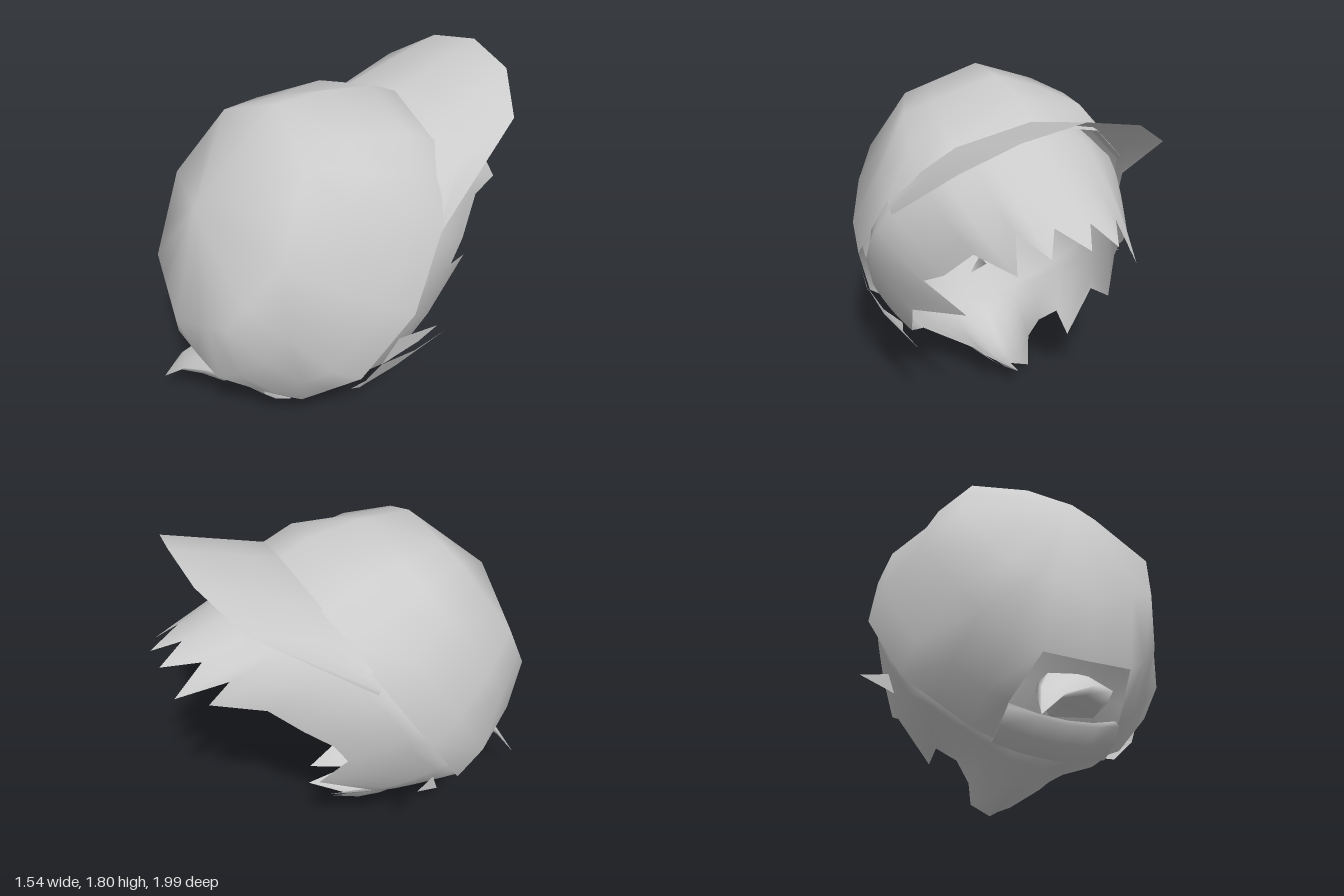
import * as THREE from 'three';
import { mergeVertices } from 'three/addons/utils/BufferGeometryUtils.js';

const material = new THREE.MeshStandardMaterial({ color: 0xcccccc, side: THREE.DoubleSide });
const rad = THREE.MathUtils.degToRad;
const lerp = THREE.MathUtils.lerp;

// Point around the tilted cap axis: angle from the crown edge (+x positive),
// height above the rim plane, factor on the oval rim radii, extra x factor.
function onCap(deg, h, f, fx = 1) {
  const x = 0.765 * f * fx * Math.sin(rad(deg));
  const u = 0.868 * f * Math.cos(rad(deg));
  return [x, 0.91 + 0.841 * u + 0.541 * h, 0.1 - 0.541 * u + 0.841 * h];
}

// Radius factor that turns a circle into a regular polygon with a corner at 0
function polygon(deg, sides) {
  const step = 360 / sides;
  return Math.cos(rad(step / 2)) / Math.cos(rad((Math.abs(deg) % step) - step / 2));
}

function addMesh(group, name, geo) {
  geo.computeVertexNormals();
  const mesh = new THREE.Mesh(geo, material);
  mesh.name = name;
  group.add(mesh);
}

// Smooth surface through rows x cols points; skip(i, j) leaves a cell open
function sheet(group, name, rows, cols, point, skip = () => false) {
  const pos = [], index = [];
  for (let i = 0; i < rows; i++) for (let j = 0; j < cols; j++) pos.push(...point(i, j));
  for (let i = 0; i < rows - 1; i++) {
    for (let j = 0; j < cols - 1; j++) {
      if (skip(i, j)) continue;
      const a = i * cols + j, b = a + cols;
      index.push(a, b, a + 1, a + 1, b, b + 1);
    }
  }
  const geo = new THREE.BufferGeometry();
  geo.setAttribute('position', new THREE.Float32BufferAttribute(pos, 3));
  geo.setIndex(index);
  addMesh(group, name, mergeVertices(geo, 1e-4));
}

// Flat strand: fan of corners around the first one
function strand(group, name, corners) {
  const pos = [];
  for (let i = 1; i < corners.length - 1; i++) pos.push(...corners[0], ...corners[i], ...corners[i + 1]);
  const geo = new THREE.BufferGeometry();
  geo.setAttribute('position', new THREE.Float32BufferAttribute(pos, 3));
  addMesh(group, name, geo);
}

// Hair below the rim: flares at the crown, draws in at the sides, and curls
// in to a wedge at the nape whose keel is a little to the right
function onHair(deg, d) {
  const c = Math.cos(rad(deg));
  const side = 0.94 - 0.42 * d * d;
  const diagonal = Math.abs(Math.sin(rad(2 * deg)));
  const narrow = (1 - 0.45 * d * Math.abs(Math.sin(rad(deg)))) * (1 - 0.55 * d * d * diagonal);
  if (c > 0) return onCap(deg, -d, lerp(side, 0.9 + 0.22 * d, c), narrow);
  const fromKeel = Math.abs(deg < 0 ? deg + 172 : deg - 188);
  const wedge = Math.max(0, 1 - Math.abs(fromKeel - 30) / 32);
  const nape = lerp(side, 0.97 + 0.1 * d - 2.2 * d ** 4, -c);
  return onCap(deg, -d, nape * (1 - 0.7 * Math.min(d, 0.45) * wedge), narrow);
}

// Jagged hair edge: [angle, depth below the rim, sideways lean of the tip]
const hairEdge = [
  [-180, 0.68, 0], [-172, 0.52, 0], [-165, 0.62, 0], [-156, 0.42, 0], [-145, 0.38, 0],
  [-131, 0.38, 0], [-122, 0.59, 2], [-109, 0.37, 0], [-92, 0.55, 2], [-84, 0.36, 0],
  [-75, 0.36, 0], [-64, 0.42, 0], [-50, 0.48, 0], [-37, 0.67, 0], [-32, 0.52, 0],
  [-27, 0.77, 0], [-18, 0.56, 0], [-9, 0.73, 0], [-3, 0.58, 0], [2, 0.73, 0],
  [10, 0.56, 0], [18, 0.7, 0], [25, 0.5, 0], [37, 0.66, 0], [46, 0.45, 0],
  [64, 0.41, 0], [75, 0.34, 0], [82, 0.59, -11], [95, 0.35, 0], [117, 0.33, 0],
  [142, 0.22, 0], [155, 0.45, 0], [164, 0.62, 0], [171, 0.47, 0], [180, 0.68, 0],
];

export function createModel() {
  const group = new THREE.Group();
  group.name = 'backwardCapWithHair';

  // Cap dome: twelve-sided rim, eight-sided top, a gap at the low front
  const half = [30, 45, 60, 90, 120, 135, 150, 158, 180];
  const angles = [...half.map((a) => -a).reverse(), 0, ...half];
  const dome = [[0, 1, 12], [0.19, 0.972, 12], [0.45, 0.84, 8], [0.67, 0.675, 8], [0.85, 0, 8]];
  const n = angles.length;
  const gap = (i, j) => i < 2 && (j === 0 || j === n - 2);
  const domePoint = (i, deg, shrink = 0) => {
    const [h, f, sides] = dome[i];
    if (Math.abs(deg) < 150 || i > 2) return onCap(deg, h + shrink, f * polygon(deg, sides) - shrink);
    if (i < 2) return onCap(deg, h + shrink, f - shrink);
    return Math.abs(deg) === 158 ? onCap(Math.sign(deg) * 162, h, 0.92) : onCap(deg, h, 0.88);
  };
  sheet(group, 'capDome', dome.length, n, (i, j) => domePoint(i, angles[j]), gap);

  // Folded lip round the rim
  sheet(group, 'capRim', 2, n, (i, j) => domePoint(0, angles[j], i ? 0 : 0.04), gap);

  // Strap closing the gap, a thin closed band
  const band = [[-0.02, 0.98], [-0.02, 1.01], [0.08, 1.015], [0.17, 0.99], [0.17, 0.95], [-0.02, 0.98]];
  sheet(group, 'strap', band.length, 5, (i, j) => onCap(158 + j * 11, ...band[i]));

  // Visor: curved plate rising to the back
  const inner = [[0.65, 1.28, -0.1], [0.51, 1.42, -0.18], [0.37, 1.55, -0.27], [0, 1.65, -0.34]];
  const outer = [[0.64, 1.2, -0.13], [0.5, 1.6, -0.7], [0.28, 1.75, -0.84], [0, 1.81, -0.87]];
  sheet(group, 'visor', 4, 7, (i, j) => {
    const k = 3 - Math.abs(j - 3), s = j < 3 ? -1 : 1;
    const p = inner[k].map((v, a) => lerp(outer[k][a], v, i / 3));
    return [p[0] * s, p[1], p[2]];
  });

  // Hair shell: jagged tips, down the sides, then tucked inside the dome
  const tips = 6;
  sheet(group, 'hair', tips + 3, hairEdge.length, (i, j) => {
    const [deg, depth, lean] = hairEdge[j];
    if (i > tips) {
      const tuck = lerp(0.16, 0.52, Math.max(0, -Math.cos(rad(deg))) ** 4);
      const h = tuck * (i - tips) / 2;
      return onCap(deg, h, 0.92 - 0.45 * h);
    }
    const t = 1 - i / tips;
    return onHair(deg + lean * t * t, depth * t);
  });

  // Tuft sweeping out through the gap
  const path = [[0.04, 0.43, 0.62], [0.02, 0.44, 0.74], [-0.07, 0.42, 0.82], [-0.19, 0.33, 0.9], [-0.28, 0.19, 0.98]];
  const width = [0.18, 0.16, 0.12, 0.06, 0];
  sheet(group, 'frontTuft', path.length, 7, (i, j) => {
    const a = rad(j * 60), [x, y, z] = path[i], w = width[i];
    return [x + w * Math.cos(a), y + 0.6 * w * Math.sin(a), z - 0.3 * w * Math.sin(a) + 0.35 * w * Math.cos(a)];
  });

  // Loose strands at the temples
  strand(group, 'leftTempleUpperStrand', [[0.74, 0.78, 0.17], [0.77, 0.78, -0.04], [0.74, 0.7, 0.05], [0.7, 0.62, 0.24]]);
  strand(group, 'leftTempleLowerStrand', [
    [0.6, 0.42, 0.3], [0.7, 0.62, 0.24], [0.68, 0.58, 0], [0.58, 0.5, -0.29], [0.57, 0.41, 0.04], [0.5, 0.32, 0.28],
  ]);
  strand(group, 'rightTempleStrand', [[-0.77, 0.65, 0.03], [-0.67, 0.61, 0.18], [-0.65, 0.5, 0.22]]);

  return group;
}
